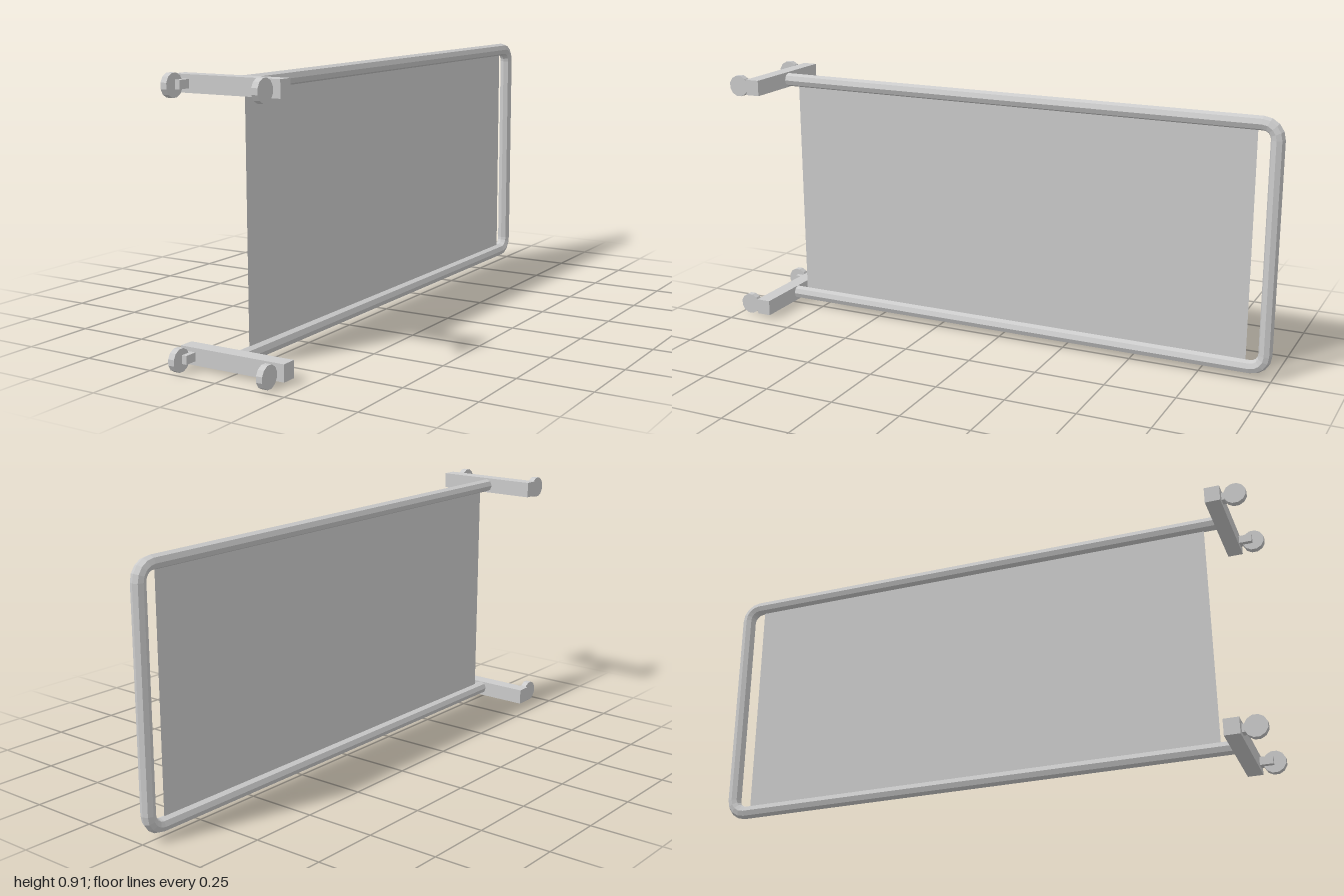
import * as THREE from 'three';

export function createModel() {
  const model = new THREE.Group();
  const grey = new THREE.MeshStandardMaterial({ color: 0xcccccc, flatShading: true });
  const sheet = new THREE.MeshStandardMaterial({ color: 0xcccccc, side: THREE.DoubleSide });

  const add = (name, geometry, x, y, z, material = grey) => {
    const mesh = new THREE.Mesh(geometry, material);
    mesh.name = name;
    mesh.position.set(x, y, z);
    model.add(mesh);
    return mesh;
  };

  const frameX = -0.005, low = 0.044, high = 0.88, end = -0.976, bend = 0.05;
  const v = (y, z) => new THREE.Vector3(0, y, z);
  const tube = (name, curve, steps) =>
    add(name, new THREE.TubeGeometry(curve, steps, 0.024, 8), frameX, 0, 0);

  // Bent tube frame: two rails, two corners and the closing end bar
  for (const [y, inward] of [[low, 1], [high, -1]]) {
    tube('rail', new THREE.LineCurve3(v(y, 0.89), v(y, end + bend)), 1);
    const k = bend * 0.448; // handle length for a quarter circle
    tube('frameCorner', new THREE.CubicBezierCurve3(
      v(y, end + bend), v(y, end + k),
      v(y + inward * k, end), v(y + inward * bend, end)), 4);
  }
  tube('endBar', new THREE.LineCurve3(v(low + bend, end), v(high - bend, end)), 1);

  // Thin panel stretched between the rails
  const panel = add('panel', new THREE.PlaneGeometry(1.73, high - low), frameX, (low + high) / 2, -0.045, sheet);
  panel.rotation.y = Math.PI / 2;

  // Cross feet, each with a pair of casters
  for (const y of [0.04, 0.88]) {
    add('foot', new THREE.BoxGeometry(0.387, 0.056, 0.052), -0.001, y, 0.891);
    for (const side of [-1, 1]) {
      const x = -0.002 + side * 0.164;
      add('casterBracket', new THREE.BoxGeometry(0.03, 0.028, 0.046), x - side * 0.013, y, 0.938);
      const wheel = new THREE.CylinderGeometry(0.0383, 0.0383, 0.022, 12);
      wheel.rotateY(Math.PI / 12).rotateZ(Math.PI / 2);
      add('casterWheel', wheel, x, y - 0.002, 0.963);
    }
  }
  return model;
}
